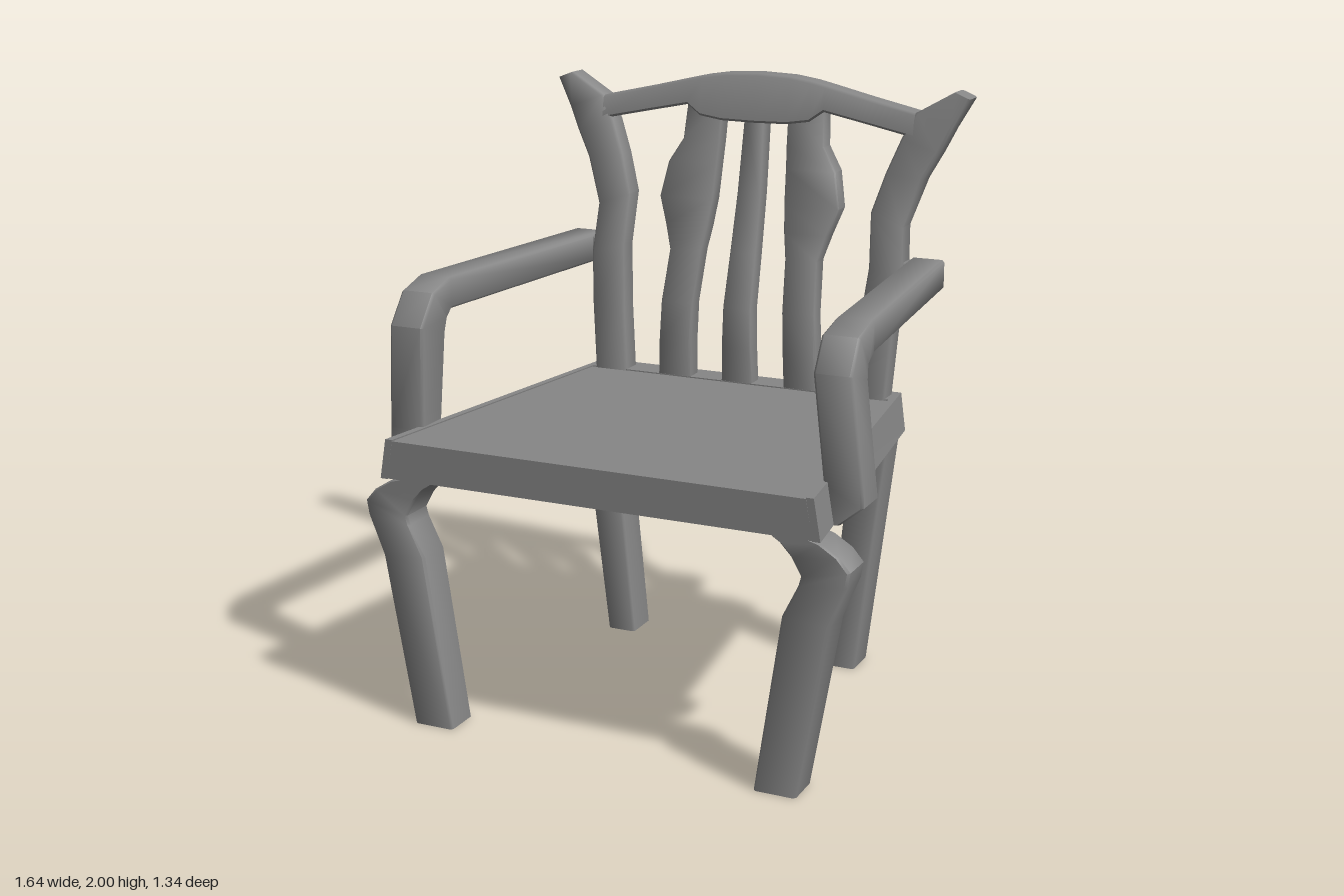
import * as THREE from 'three';
import { toCreasedNormals } from 'three/addons/utils/BufferGeometryUtils.js';

const material = new THREE.MeshStandardMaterial({ color: 0x868686 });
const V = (x, y, z) => new THREE.Vector3(x, y, z);

// Piecewise-linear lookup in [[key, value], ...]
function lookup(table, k) {
  let i = 1;
  while (i < table.length - 1 && k > table[i][0]) i++;
  const [k0, v0] = table[i - 1], [k1, v1] = table[i];
  return v0 + (v1 - v0) * (k - k0) / (k1 - k0);
}

// Solid through softly edged rectangular sections; each row is { a, b, h }:
// a and b are the middles of two opposite sides, h the half thickness vector
function loft(name, rows, chamfer = 0.008) {
  const sections = rows.map(({ a, b, h }) => {
    const c = a.clone().add(b).multiplyScalar(0.5), u = b.clone().sub(a).multiplyScalar(0.5);
    const p = 1 - Math.min(0.5, chamfer / u.length()), q = 1 - Math.min(0.5, chamfer / h.length());
    return [[1, -q], [1, q], [p, 1], [-p, 1], [-1, q], [-1, -q], [-p, -1], [p, -1]]
      .map(([s, t]) => c.clone().addScaledVector(u, s).addScaledVector(h, t));
  });
  const tris = [];
  for (let i = 0; i < sections.length - 1; i++) {
    for (let j = 0; j < 8; j++) {
      const k = (j + 1) % 8, s = sections[i], t = sections[i + 1];
      tris.push([s[j], s[k], t[k]], [s[j], t[k], t[j]]);
    }
  }
  const first = sections[0], last = sections[sections.length - 1];
  for (let j = 1; j < 7; j++) {
    tris.push([first[0], first[j + 1], first[j]], [last[0], last[j], last[j + 1]]);
  }
  // Turn the faces outward if the enclosed volume comes out negative
  const volume = tris.reduce((v, [p, q, r]) => v + p.dot(q.clone().cross(r)), 0);
  if (volume < 0) tris.forEach(t => t.reverse());
  const geometry = new THREE.BufferGeometry().setFromPoints(tris.flat());
  const mesh = new THREE.Mesh(toCreasedNormals(geometry, 0.85), material);
  mesh.name = name;
  return mesh;
}

// Board drawn in the front plane by edge pairs [xa, ya, xb, yb], with depth zAt(y)
function board(name, pairs, side, zAt, half, chamfer) {
  return loft(name, pairs.map(([xa, ya, xb, yb]) => ({
    a: V(xa * side, ya, zAt(ya)), b: V(xb * side, yb, zAt(yb)), h: V(0, 0, half),
  })), chamfer);
}

// Horizontal slab from [x, -z] corners, slightly narrower at the top
function slab(name, corners, y0, y1) {
  const shape = new THREE.Shape(corners.map(([x, y]) => new THREE.Vector2(x, y)));
  const g = new THREE.ExtrudeGeometry(shape, { depth: y1 - y0, bevelEnabled: false });
  g.rotateX(-Math.PI / 2).translate(0, y0, 0);
  const p = g.attributes.position;
  for (let i = 0; i < p.count; i++) if (p.getY(i) > 0.9) p.setX(i, p.getX(i) * 0.97);
  g.computeVertexNormals();
  const mesh = new THREE.Mesh(g, material);
  mesh.name = name;
  return mesh;
}

export function createModel() {
  const chair = new THREE.Group();
  chair.name = 'armchair';

  // Seat: frame along the sides and back, panel running through to the front edge
  chair.add(
    slab('seatFrame', [[-0.74, -0.67], [-0.715, -0.67], [-0.57, 0.43], [0.57, 0.43],
      [0.715, -0.67], [0.74, -0.67], [0.58, 0.535], [-0.58, 0.535]], 0.83, 0.96),
    slab('seatPanel', [[-0.715, -0.67], [0.715, -0.67], [0.57, 0.43], [-0.57, 0.43]], 0.832, 0.956),
  );

  // Lean of the posts and curve of the slats
  const postZ = y => lookup([[0.9, -0.465], [1.2, -0.482], [1.4, -0.522], [1.6, -0.56], [2, -0.63]], y);
  const slatZ = y => lookup([[0.9, -0.468], [1.08, -0.458], [1.22, -0.462], [1.4, -0.51], [1.6, -0.56], [2, -0.63]], y);

  // Top rail
  const half = [[0.57, 1.9, 1.82], [0.4, 1.937, 1.855], [0.25, 1.972, 1.885], [0.2, 1.983, 1.85], [0.12, 1.995, 1.838]];
  const rail = [...half.map(([x, t, b]) => [-x, t, -x, b]), [0, 2, 0, 1.836],
    ...half.slice().reverse().map(([x, t, b]) => [x, t, x, b])];
  chair.add(board('topRail', rail, 1, postZ, 0.043));

  // Middle slat
  chair.add(board('middleSlat', [0.92, 1.08, 1.22, 1.4, 1.6, 1.87].map(y => {
    const w = lookup([[0.92, 0.057], [1.87, 0.036]], y);
    return [-w, y, w, y];
  }), 1, slatZ, 0.034, 0.005));

  for (const side of [1, -1]) {
    const label = side > 0 ? 'left' : 'right';

    // Side slat with a swelling on its outer edge
    chair.add(board(label + 'Slat', [
      [0.175, 0.92, 0.297, 0.92], [0.172, 1.08, 0.29, 1.08], [0.167, 1.22, 0.283, 1.22],
      [0.157, 1.395, 0.272, 1.395], [0.143, 1.48, 0.298, 1.48], [0.133, 1.57, 0.33, 1.57],
      [0.128, 1.69, 0.307, 1.69], [0.124, 1.77, 0.258, 1.77], [0.121, 1.895, 0.25, 1.895],
    ], side, slatZ, 0.034, 0.005));

    // Back post, flaring out into an ear
    chair.add(board(label + 'BackPost', [
      [0.415, 0.9, 0.535, 0.9], [0.435, 1.18, 0.555, 1.18], [0.455, 1.39, 0.573, 1.36],
      [0.445, 1.57, 0.562, 1.53], [0.485, 1.7, 0.615, 1.687], [0.53, 1.815, 0.662, 1.775],
      [0.573, 1.9, 0.7, 1.855], [0.7, 1.973, 0.753, 1.952],
    ], side, postZ, 0.043));

    // Front leg with a bent knee
    chair.add(board(label + 'FrontLeg', [
      [0.55, 0.832, 0.637, 0.838], [0.6, 0.8, 0.73, 0.812], [0.637, 0.76, 0.785, 0.778],
      [0.668, 0.705, 0.82, 0.737], [0.66, 0.675, 0.812, 0.69], [0.61, 0.573, 0.76, 0.56],
      [0.525, 0, 0.663, 0],
    ], side, () => 0.577, 0.063));

    // Back leg
    chair.add(board(label + 'BackLeg', [[0.45, 0.84, 0.573, 0.84], [0.37, 0, 0.472, 0]],
      side, () => -0.44, 0.065));

    // Arm: foot, upright, bend and rest; [xInner, xOuter, outer z, y, inner z, y]
    const arm = [
      [0.66, 0.735, 0.505, 0.83, 0.375, 0.83], [0.68, 0.808, 0.505, 0.89, 0.372, 0.89],
      [0.682, 0.805, 0.505, 0.95, 0.385, 0.96], [0.655, 0.775, 0.532, 1.29, 0.392, 1.25],
      [0.652, 0.772, 0.46, 1.39, 0.383, 1.292], [0.655, 0.775, 0.35, 1.42, 0.35, 1.318],
      [0.572, 0.688, -0.57, 1.42, -0.57, 1.32],
    ];
    chair.add(loft(label + 'Arm', arm.map(([xi, xo, oz, oy, iz, iy]) => ({
      a: V(xi * side, (oy + iy) / 2, (oz + iz) / 2),
      b: V(xo * side, (oy + iy) / 2, (oz + iz) / 2),
      h: V(0, (oy - iy) / 2, (oz - iz) / 2),
    }))));

    // Short link from the arm to the back post
    chair.add(loft(label + 'ArmLink', [0.5, 0.66].map(x => ({
      a: V(x * side, 1.33, -0.53), b: V(x * side, 1.415, -0.53), h: V(0, 0, 0.037),
    }))));
  }
  return chair;
}
